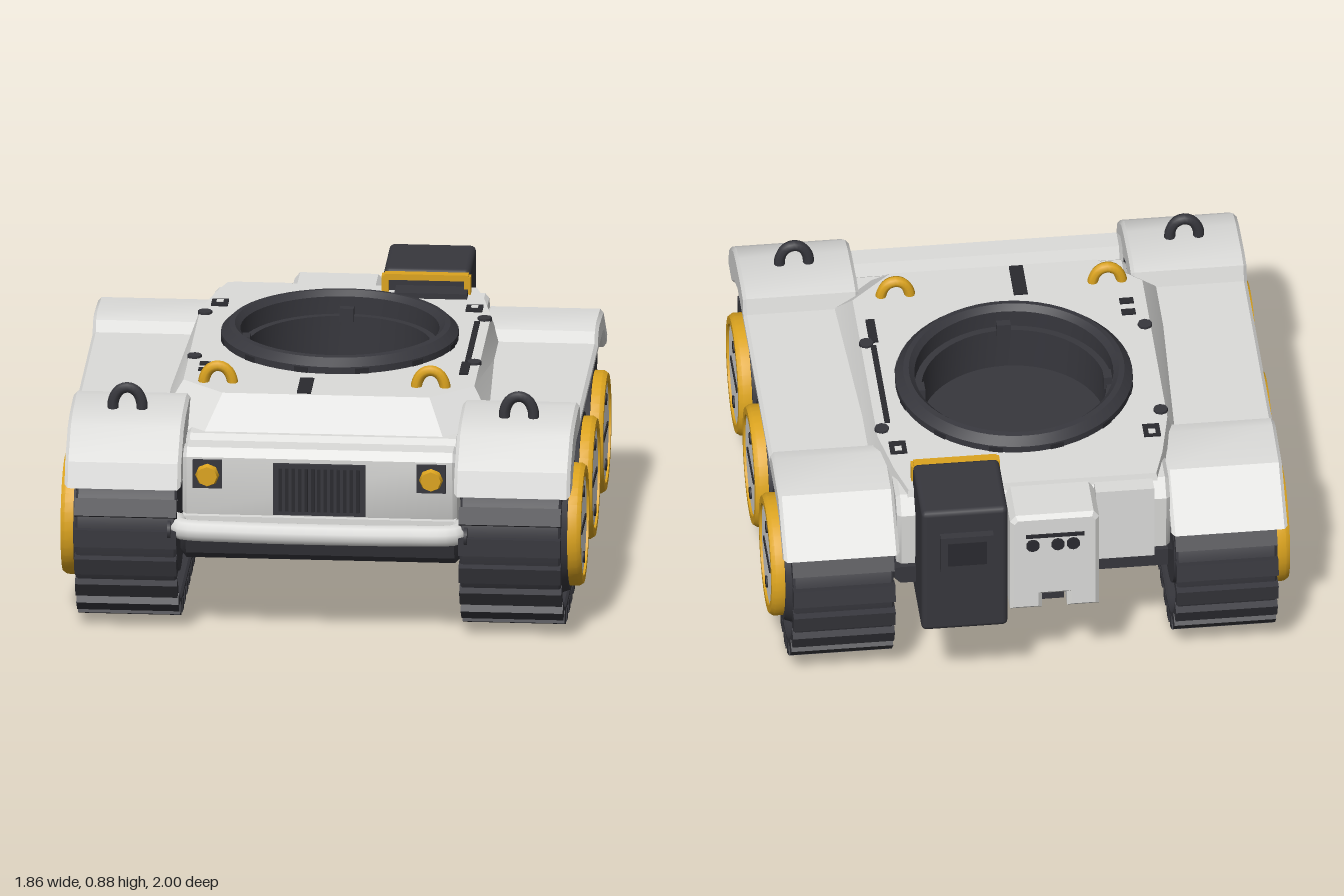
import * as THREE from 'three';
import { toCreasedNormals } from 'three/addons/utils/BufferGeometryUtils.js';
import { RoundedBoxGeometry } from 'three/addons/geometries/RoundedBoxGeometry.js';

const paint = (name, color) => Object.assign(new THREE.MeshStandardMaterial({ color }), { name });

export function createModel() {
  const root = new THREE.Group();
  root.name = 'trackedHull';
  const light = paint('lightGrey', 0xdcdcda);
  const dark = paint('charcoal', 0x37373d);
  const yellow = paint('yellow', 0xdca41f);
  const black = paint('black', 0x2a2a2f);

  const add = (name, geo, mat, x = 0, y = 0, z = 0, parent = root) => {
    const m = new THREE.Mesh(geo, mat);
    m.name = name;
    m.position.set(x, y, z);
    parent.add(m);
    return m;
  };
  const box = (name, mat, w, h, d, x, y, z, parent) =>
    add(name, new THREE.BoxGeometry(w, h, d), mat, x, y, z, parent);
  const poly = (pts) => new THREE.Shape(pts.map(([a, b]) => new THREE.Vector2(a, b)));

  // Extrudes a (z, y) side profile across x, centred, with optional bevel
  const acrossX = (shape, width, bevel = 0) => {
    const g = new THREE.ExtrudeGeometry(shape, {
      depth: width - 2 * bevel, bevelEnabled: bevel > 0, bevelThickness: bevel,
      bevelSize: bevel, bevelOffset: -bevel, bevelSegments: 1, curveSegments: 12,
    });
    g.translate(0, 0, bevel - width / 2).rotateY(-Math.PI / 2);
    return toCreasedNormals(g, 0.5);
  };

  // Hull body, lowered under the turret well
  add('hullBody', acrossX(poly([
    [0.64, 0.69], [0.67, 0.69], [0.73, 0.645], [0.75, 0.69], [0.83, 0.69], [0.855, 0.66], [0.85, 0.45], [0.82, 0.39],
    [-0.68, 0.4], [-0.76, 0.5], [-0.77, 0.72], [-0.72, 0.78], [-0.58, 0.78], [-0.58, 0.55], [0.32, 0.55], [0.32, 0.69],
  ]), 0.98, 0.015), light);
  add('lowerHull', acrossX(poly([
    [0.85, 0.385], [0.82, 0.29], [0.78, 0.26], [-0.52, 0.26], [-0.78, 0.43], [-0.78, 0.5], [-0.6, 0.5], [-0.5, 0.42], [0.8, 0.42],
  ]), 1.0, 0.02), dark);

  // Deck: top outline with a round opening, lower edge moved out to a wider outline
  const top = [[0.37, 0.54], [0.52, 0.4], [0.52, -0.4], [0.48, -0.6], [0.445, -0.72]];
  const foot = [[0.43, 0.66], [0.6, 0.5], [0.56, -0.4], [0.5, -0.6], [0.46, -0.75]];
  const outline = [...top, ...top.slice().reverse().map(([x, z]) => [-x, z])];
  const deckShape = poly(outline.map(([x, z]) => [x, -z]));
  deckShape.holes.push(new THREE.Path().absarc(0, 0.125, 0.38, 0, Math.PI * 2, true));
  const deck = new THREE.ExtrudeGeometry(deckShape, { depth: 0.12, bevelEnabled: false, curveSegments: 24 });
  deck.rotateX(-Math.PI / 2).translate(0, 0.68, 0);
  const p = deck.attributes.position;
  for (let i = 0; i < p.count; i++) {
    const x = p.getX(i), z = p.getZ(i);
    const k = top.findIndex(([a, b]) => Math.hypot(a - Math.abs(x), b - z) < 0.001);
    if (p.getY(i) < 0.7 && k >= 0) p.setXYZ(i, Math.sign(x) * foot[k][0], 0.68, foot[k][1]);
  }
  deck.computeVertexNormals();
  add('deck', toCreasedNormals(deck, 0.3), light);

  // Turret ring and well
  const ring = new THREE.LatheGeometry([
    [0, 0.61], [0.33, 0.61], [0.33, 0.77], [0.355, 0.77], [0.355, 0.835], [0.375, 0.855], [0.395, 0.852],
    [0.424, 0.825], [0.424, 0.78],
  ].map(([r, y]) => new THREE.Vector2(r, y)), 56);
  dark.side = THREE.DoubleSide;
  add('turretRing', toCreasedNormals(ring, 0.5), dark, 0, 0, -0.125);
  for (let i = 0; i < 4; i++) {
    const a = i * Math.PI / 2;
    const b = box('ringStop', dark, 0.05, 0.05, 0.03, Math.sin(a) * 0.335, 0.775, Math.cos(a) * 0.335 - 0.125);
    b.rotation.y = a;
  }
  for (let i = 0; i < 12; i++) {
    const a = (i + 0.5) * Math.PI / 6;
    const b = box('ringLug', black, 0.05, 0.02, 0.008, Math.sin(a) * 0.422, 0.81, Math.cos(a) * 0.422 - 0.125);
    b.rotation.y = a;
  }

  // Deck fittings
  box('deckSlot', black, 0.02, 0.008, 0.45, 0.476, 0.802, -0.1);
  box('deckSlotEnd', black, 0.032, 0.008, 0.13, 0.472, 0.803, 0.21);
  box('deckVent', black, 0.05, 0.008, 0.165, -0.08, 0.802, 0.447);
  for (const s of [-1, 1]) {
    box('deckHatch', black, 0.06, 0.008, 0.07, s * 0.455, 0.802, -0.475);
    box('deckHatchInset', light, 0.025, 0.009, 0.025, s * 0.455, 0.804, -0.485);
    for (const z of [-0.36, 0.14])
      add('deckBolt', new THREE.CylinderGeometry(0.026, 0.026, 0.014, 8), dark, s * 0.5, 0.802, z);
  }
  for (const z of [0.22, 0.285]) box('deckClip', black, 0.05, 0.008, 0.03, -0.45, 0.802, z);

  // Lifting hooks: half rings on short legs
  const hook = (name, mat, x, y, z) => {
    const g = new THREE.CatmullRomCurve3([[-0.05, -0.03], [-0.05, 0.03], [-0.03, 0.068], [0, 0.08],
      [0.03, 0.068], [0.05, 0.03], [0.05, -0.03]].map(([a, b]) => new THREE.Vector3(a, b, 0)));
    add(name, new THREE.TubeGeometry(g, 20, 0.02, 8), mat, x, y, z);
  };
  hook('deckHook', yellow, -0.395, 0.78, 0.415);
  hook('deckHook', yellow, 0.365, 0.78, 0.415);

  // Front plate: grille, headlights, bumper
  box('grilleFrame', dark, 0.33, 0.19, 0.03, 0, 0.55, 0.855);
  for (let i = 0; i < 13; i++) box('grilleBar', black, 0.012, 0.16, 0.008, -0.138 + i * 0.023, 0.55, 0.872);
  for (const s of [-1, 1]) {
    box('headlightFrame', dark, 0.105, 0.105, 0.03, s * 0.4, 0.6, 0.85);
    const lamp = new THREE.CylinderGeometry(0.036, 0.045, 0.025, 8).rotateX(Math.PI / 2);
    add('headlight', lamp, yellow, s * 0.4, 0.597, 0.872);
    const cap = new THREE.CylinderGeometry(0.034, 0.034, 0.012, 12).rotateZ(Math.PI / 2);
    add('bumperCap', cap, dark, s * 0.53, 0.415, 0.945);
  }
  const bumperPath = new THREE.CatmullRomCurve3([[-0.51, 0.86], [-0.49, 0.93], [-0.3, 0.955], [0, 0.962],
    [0.3, 0.955], [0.49, 0.93], [0.51, 0.86]].map(([x, z]) => new THREE.Vector3(x, 0.415, z)));
  add('bumper', new THREE.TubeGeometry(bumperPath, 40, 0.039, 10), light);
  box('bumperSill', light, 0.98, 0.06, 0.05, 0, 0.415, 0.845);

  // Rear equipment box with yellow strap
  add('rearBox', new RoundedBoxGeometry(0.31, 0.53, 0.3, 2, 0.02), dark, 0.27, 0.615, -0.82);
  box('rearBoxPlate', dark, 0.19, 0.15, 0.04, 0.265, 0.71, -0.98);
  box('rearBoxPlateInset', black, 0.14, 0.1, 0.006, 0.265, 0.71, -0.999);
  box('rearBoxMount', dark, 0.26, 0.2, 0.1, 0.29, 0.72, -0.63);
  box('strapTop', yellow, 0.3, 0.022, 0.035, 0.27, 0.86, -0.655);
  for (const s of [-1, 1]) box('strapSide', yellow, 0.024, 0.08, 0.035, 0.27 + s * 0.147, 0.825, -0.655);

  // Rear light block with a notched base and sockets
  const block = new THREE.ExtrudeGeometry(poly([
    [-0.16, 0.37], [-0.045, 0.37], [-0.045, 0.43], [0.045, 0.43], [0.045, 0.37], [0.16, 0.37],
    [0.16, 0.76], [0.14, 0.785], [-0.14, 0.785], [-0.16, 0.76],
  ]), { depth: 0.25, bevelEnabled: true, bevelThickness: 0.015, bevelSize: 0.015, bevelOffset: -0.015, bevelSegments: 1 });
  add('rearBlock', block, light, -0.06, 0, -0.895);
  box('socketStrip', black, 0.21, 0.014, 0.008, -0.06, 0.7, -0.912);
  for (const x of [-0.125, -0.07, 0.02])
    add('socket', new THREE.CylinderGeometry(0.024, 0.024, 0.02, 10).rotateX(Math.PI / 2), black, x, 0.66, -0.91);
  box('towBracket', dark, 0.08, 0.08, 0.08, -0.06, 0.4, -0.8);
  box('rearShoulder', light, 0.21, 0.3, 0.08, -0.325, 0.63, -0.745);

  // Track loop: egg-shaped ends, deeper below the axle line than above
  const Z0 = 0.62, Z1 = -0.5, CY = 0.39, Q = Math.PI / 2;
  const loop = (Type, inset) => {
    const a = 0.35 - inset, up = 0.285 - inset, low = 0.385 - inset;
    return new Type().absellipse(Z0, CY, a, low, -Q, 0).absellipse(Z0, CY, a, up, 0, Q)
      .absellipse(Z1, CY, a, up, Q, 2 * Q).absellipse(Z1, CY, a, low, 2 * Q, 3 * Q).lineTo(Z0, CY - low);
  };
  const beltShape = loop(THREE.Shape, 0.026);
  beltShape.holes.push(loop(THREE.Path, 0.068));
  const beltGeo = acrossX(beltShape, 0.36, 0.008);
  const plateGeo = acrossX(loop(THREE.Shape, 0.062), 0.3);
  const lugGeo = new THREE.BoxGeometry(0.365, 0.046, 0.064);
  const count = 40, lugPoints = loop(THREE.Path, 0.024).getSpacedPoints(count);
  const fenderGeo = acrossX(poly([
    [0.97, 0.57], [0.94, 0.66], [0.81, 0.755], [0.72, 0.775], [0.55, 0.785], [0.48, 0.775], [0.465, 0.715],
    [-0.37, 0.715], [-0.39, 0.755], [-0.45, 0.77], [-0.65, 0.755], [-0.84, 0.6], [-0.79, 0.565], [-0.68, 0.655],
    [-0.6, 0.675], [0.66, 0.675], [0.76, 0.63], [0.85, 0.565],
  ]), 0.415, 0.012);
  const rimGeo = toCreasedNormals(new THREE.LatheGeometry([
    [0.22, -0.006], [0.22, 0.03], [0.21, 0.045], [0.183, 0.045], [0.183, 0],
  ].map(([r, y]) => new THREE.Vector2(r, y)), 40), 0.6);
  yellow.side = THREE.DoubleSide;

  for (const s of [-1, 1]) {
    const side = new THREE.Group();
    side.name = s > 0 ? 'leftTrack' : 'rightTrack';
    root.add(side);
    add('belt', beltGeo, dark, s * 0.687, 0, 0, side);
    add('trackFrame', plateGeo, dark, s * 0.69, 0, 0, side);
    add('fender', fenderGeo, light, s * 0.696, 0, 0, side);
    hook('fenderHook', dark, s * 0.7, 0.775, 0.67);

    // Tread lugs spaced evenly along the loop, turned to its tangent
    for (let i = 0; i < count; i++) {
      const here = lugPoints[i], next = lugPoints[i + 1], prev = lugPoints[(i + count - 1) % count];
      const lug = add('treadLug', lugGeo, dark, s * 0.687, here.y, here.x, side);
      lug.rotation.x = -Math.atan2(next.y - prev.y, next.x - prev.x);
    }

    // Road wheels with yellow rims, slot and bolts
    for (const z of [0.59, 0.055, -0.465]) {
      const wheel = new THREE.Group();
      wheel.name = 'wheel';
      wheel.position.set(s * 0.885, 0.355, z);
      wheel.rotation.z = -s * Math.PI / 2;
      side.add(wheel);
      add('wheelSeat', new THREE.CylinderGeometry(0.235, 0.255, 0.055, 40), dark, 0, -0.03, 0, wheel);
      add('wheelRim', rimGeo, yellow, 0, 0, 0, wheel);
      add('wheelDisc', new THREE.CylinderGeometry(0.184, 0.184, 0.05, 40), light, 0, 0.012, 0, wheel);
      box('wheelSlot', black, 0.016, 0.008, 0.2, 0, 0.038, 0, wheel);
      for (const k of [-1, 1])
        add('wheelBolt', new THREE.CylinderGeometry(0.022, 0.022, 0.012, 8), black, k * 0.123, 0.038, 0, wheel);
      const inner = new THREE.CylinderGeometry(0.2, 0.2, 0.03, 32).rotateZ(Math.PI / 2);
      add('innerWheel', inner, dark, s * 0.53, 0.355, z, side);
    }
  }
  return root;
}
